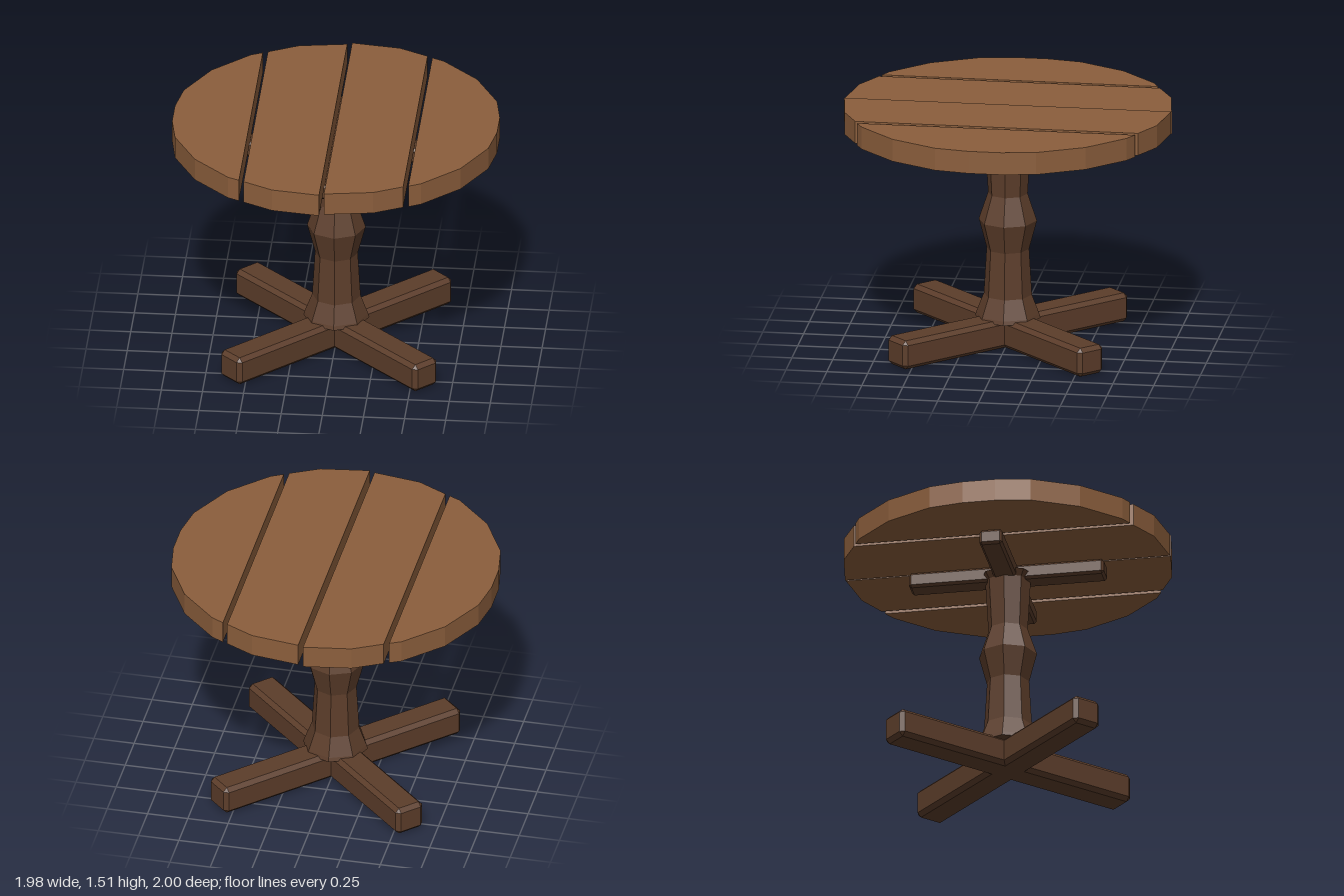
import * as THREE from 'three';
import { ConvexGeometry } from 'three/addons/geometries/ConvexGeometry.js';

// Box with flat chamfers on every edge, centred on its origin
function chamferedBox(w, h, d, c) {
  const points = [];
  const half = [w / 2, h / 2, d / 2];
  for (const sx of [-1, 1]) for (const sy of [-1, 1]) for (const sz of [-1, 1]) {
    for (let face = 0; face < 3; face++) {
      const p = half.map((v, i) => (i === face ? v : v - c));
      points.push(new THREE.Vector3(p[0] * sx, p[1] * sy, p[2] * sz));
    }
  }
  return new ConvexGeometry(points);
}

// Plank whose outline is given for one end and mirrored to the other
function plankGeometry(edge, thickness) {
  const outline = [...edge, ...edge.map(([x, z]) => [x, -z]).reverse()];
  const shape = new THREE.Shape(outline.map(([x, z]) => new THREE.Vector2(x, z)));
  const geometry = new THREE.ExtrudeGeometry(shape, { depth: thickness, bevelEnabled: false });
  return geometry.rotateX(-Math.PI / 2);
}

export function createModel() {
  const table = new THREE.Group();
  table.name = 'roundTable';

  const topWood = new THREE.MeshStandardMaterial({ color: 0x8b5e3c });
  topWood.name = 'light wood';
  const legWood = new THREE.MeshStandardMaterial({ color: 0x5c3d2a, flatShading: true });
  legWood.name = 'dark wood';

  const add = (name, geometry, material, y, turn = 0) => {
    const mesh = new THREE.Mesh(geometry, material);
    mesh.name = name;
    mesh.position.y = y;
    mesh.rotation.y = turn;
    table.add(mesh);
  };

  // Four planks cut to a round top, each at a slightly different height
  const planks = [
    ['outerRightPlank', 1.36, [[-0.99, 0.1], [-0.955, 0.31], [-0.81, 0.59], [-0.59, 0.81], [-0.52, 0.845]]],
    ['innerRightPlank', 1.36, [[-0.49, 0.86], [-0.31, 0.955], [-0.02, 1]]],
    ['innerLeftPlank', 1.37, [[0.01, 1], [0.305, 0.955], [0.48, 0.865]]],
    ['outerLeftPlank', 1.368, [[0.51, 0.85], [0.585, 0.81], [0.805, 0.59], [0.95, 0.31], [0.985, 0.1]]],
  ];
  for (const [name, y, edge] of planks) add(name, plankGeometry(edge, 0.14), topWood, y);

  // Cross brace under the top
  for (const i of [0, 1]) {
    add('topBrace', chamferedBox(1.2, 0.095, 0.14, 0.015), legWood, 1.307, i * Math.PI / 2);
  }

  // Eight-sided turned column
  const profile = [
    [0, 0.165], [0.2, 0.165], [0.193, 0.19], [0.147, 0.31], [0.13, 0.6], [0.178, 0.78],
    [0.121, 0.95], [0.139, 1.265], [0.166, 1.304], [0, 1.304],
  ].map(([r, y]) => new THREE.Vector2(r, y));
  add('column', new THREE.LatheGeometry(profile, 8), legWood, 0);

  // Diagonal cross foot
  for (const turn of [-1, 1]) {
    add('footBeam', chamferedBox(1.7, 0.18, 0.19, 0.025), legWood, 0.09, turn * Math.PI / 4);
  }

  return table;
}
